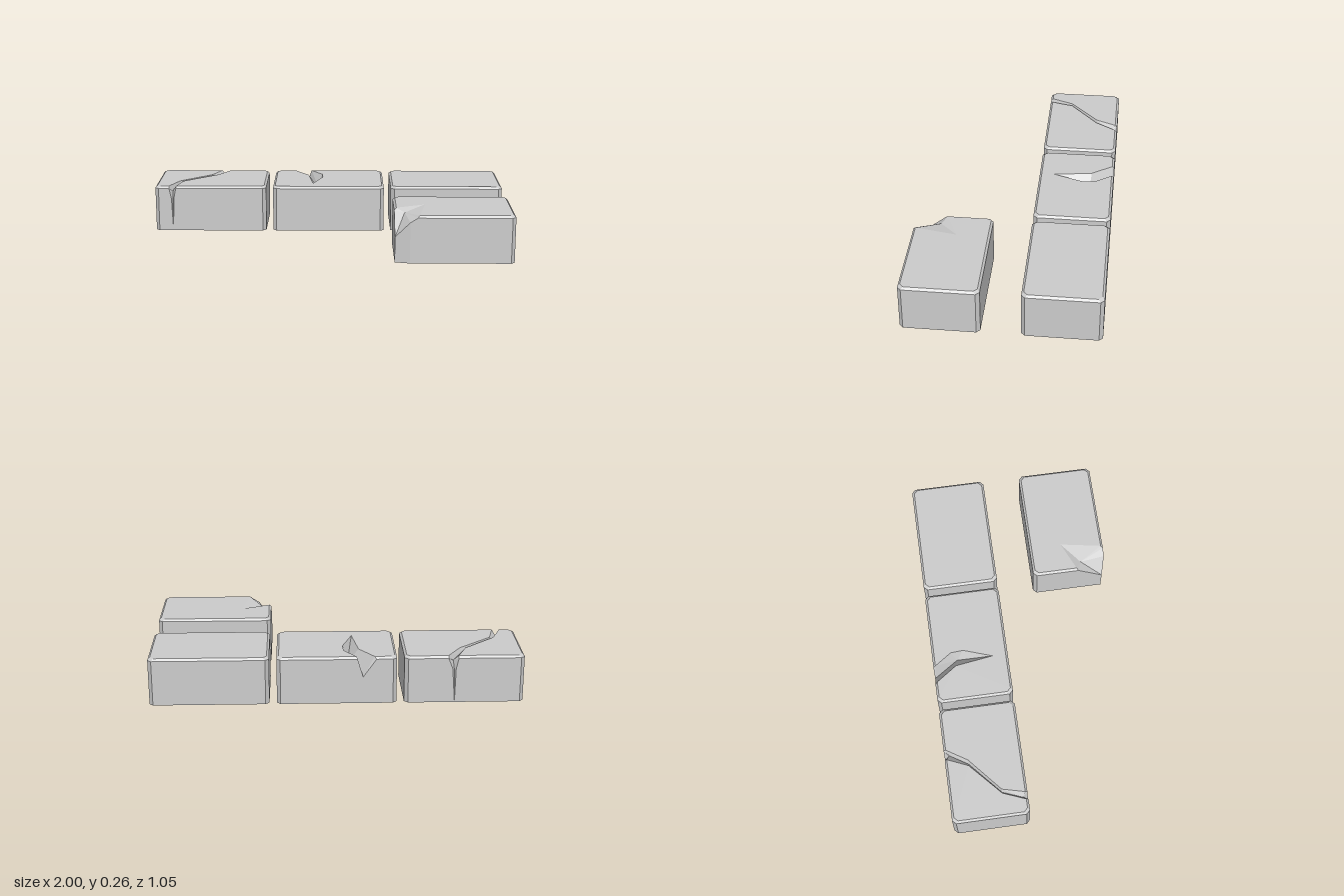
import * as THREE from 'three';

// Half width, half depth, height, corner chamfer and top bevel of every brick
const W = 0.32, D = 0.21, H = 0.262, C = 0.02, B = 0.012, SHOULDER = 0.25;
const material = new THREE.MeshStandardMaterial({ color: 0xcccccc, flatShading: true, side: THREE.DoubleSide });
const v = (x, y, z) => new THREE.Vector3(x, y, z);

// Eight chamfered corners, counter-clockwise from above, starting at the back left
function corners(y, inset = 0) {
  const w = W - inset, d = D - inset;
  return [[C - w, -d], [-w, C - d], [-w, d - C], [C - w, d], [w - C, d], [w, d - C], [w, C - d], [w - C, -d]]
    .map(([x, z]) => v(x, y, z));
}
const levels = (mid) => [corners(0), corners(mid), corners(SHOULDER), corners(H, B)];

// Collects triangles for one brick
class Facets {
  tris = [];
  tri(a, b, c) {
    const area = b.clone().sub(a).cross(c.clone().sub(a)).length();
    if (area > 1e-7) this.tris.push(a, b, c);
  }
  quad(a, b, c, d) { this.tri(a, b, c); this.tri(a, c, d); }
  // Faces between two lines of points
  strip(a, b) {
    for (let i = 0; i < a.length - 1; i++) this.quad(a[i], b[i], b[i + 1], a[i + 1]);
  }
  // Walls through stacked loops of points
  walls(loops) {
    for (let k = 0; k < loops.length - 1; k++) {
      const lo = loops[k], hi = loops[k + 1];
      for (let i = 0; i < lo.length - 1; i++) this.quad(lo[i], lo[i + 1], hi[i + 1], hi[i]);
    }
  }
  // Flat upward face, possibly concave
  cap(points) {
    const flat = points.map((p) => new THREE.Vector2(p.x, p.z));
    for (const [i, j, k] of THREE.ShapeUtils.triangulateShape(flat, [])) {
      const a = points[i], b = points[j], c = points[k];
      const up = b.clone().sub(a).cross(c.clone().sub(a)).y > 0;
      if (up) this.tri(a, b, c); else this.tri(a, c, b);
    }
  }
  mesh(name, x, z) {
    const geometry = new THREE.BufferGeometry().setFromPoints(this.tris);
    geometry.computeVertexNormals();
    const mesh = new THREE.Mesh(geometry, material);
    mesh.name = name;
    mesh.position.set(x, 0, z);
    return mesh;
  }
}

// Whole brick, open underneath
function plainBrick() {
  const f = new Facets();
  const loops = [corners(0), corners(SHOULDER), corners(H, B)];
  f.walls(loops.map((l) => [...l, l[0]]));
  f.cap(loops[2]);
  return f;
}

// Brick with a crack running up the front, over the top and down the back
function crackedBrick() {
  const f = new Facets();
  // Each row: x, y, z, half width of the crack, then y and z of its floor
  const rows = [
    [-0.22, 0, D, 0, 0, D],
    [-0.22, 0.19, D, 0.007, 0.19, D - 0.015],
    [-0.22, SHOULDER, D, 0.02, 0.23, D - 0.025],
    [-0.22, H, D - B, 0.02, 0.23, D - 0.03],
    [-0.18, H, 0.075, 0.011, 0.235, 0.075],
    [0.0, H, -0.085, 0.016, 0.235, -0.085],
    [0.06, H, B - D, 0.027, 0.23, 0.03 - D],
    [0.06, SHOULDER, -D, 0.027, 0.23, 0.025 - D],
    [0.055, 0.19, -D, 0.009, 0.19, 0.015 - D],
    [0.05, 0, -D, 0, 0, -D],
  ];
  const left = rows.map(([x, y, z, w]) => v(x - w, y, z));
  const right = rows.map(([x, y, z, w]) => v(x + w, y, z));
  const floor = rows.map(([x, , , , y, z]) => v(x, y, z));
  f.strip(left, floor);
  f.strip(floor, right);
  const rings = levels(0.19);
  const leftLoops = rings.map((r, k) => [left[9 - k], ...r.slice(0, 4), left[k]]);
  const rightLoops = rings.map((r, k) => [right[k], ...r.slice(4), right[9 - k]]);
  f.walls(leftLoops);
  f.walls(rightLoops);
  f.cap([...leftLoops[3], left[4], left[5]]);
  f.cap([...rightLoops[3], right[5], right[4]]);
  return f;
}

// Brick with a wedge broken out of its back edge
function notchedBrick() {
  const f = new Facets();
  const tip = v(-0.09, H, 0.125), apex = v(-0.14, 0.15, -D), pit = v(-0.06, 0.18, -0.075);
  const mid = v(-0.12, H, -0.085);
  const left = [tip, mid, mid, v(-0.2, H, B - D), v(-0.21, SHOULDER, -D), apex];
  const right = [tip, v(-0.035, H, -0.035), v(-0.04, H, -0.105), v(-0.105, H, B - D), v(-0.11, SHOULDER, -D), apex];
  const floor = [tip, pit, pit, apex, apex, apex];
  f.strip(left, floor);
  f.strip(floor, right);
  const foot = v(apex.x, 0, -D);
  const loops = levels(apex.y).map((r, k) =>
    k === 0 ? [foot, ...r, foot] : [left[6 - k], ...r, right[6 - k]]);
  f.walls(loops);
  f.cap([...loops[3], right[2], right[1], tip, mid]);
  return f;
}

// Brick with its front corner knocked off
function chippedBrick() {
  const f = new Facets();
  const starts = [v(-0.24, 0, D), v(-0.24, 0.225, D), v(-0.2, SHOULDER, D), v(-0.19, H, D - B)];
  const ends = [v(-W, 0, D - C), v(-W, 0.14, D - C), v(-W, SHOULDER, 0.05), v(B - W, H, 0.04)];
  const loops = levels(0.2).map((r, k) => [starts[k], ...r.slice(4), r[0], r[1], ends[k]]);
  const inner = v(-0.15, H, -0.03), hollow = v(-0.265, 0.243, 0.07);
  f.walls(loops);
  f.cap([...loops[3], inner]);
  f.quad(ends[0], starts[0], starts[1], ends[1]);
  const rim = [ends[1], starts[1], starts[2], starts[3], inner, ends[3], ends[2]];
  rim.forEach((p, i) => f.tri(hollow, p, rim[(i + 1) % rim.length]));
  return f;
}

export function createModel() {
  const group = new THREE.Group();
  group.name = 'bricks';
  group.add(
    crackedBrick().mesh('crackedBrick', -0.68, -0.315),
    notchedBrick().mesh('notchedBrick', 0, -0.315),
    plainBrick().mesh('plainBrick', 0.68, -0.315),
    chippedBrick().mesh('chippedBrick', 0.68, 0.315),
  );
  return group;
}
